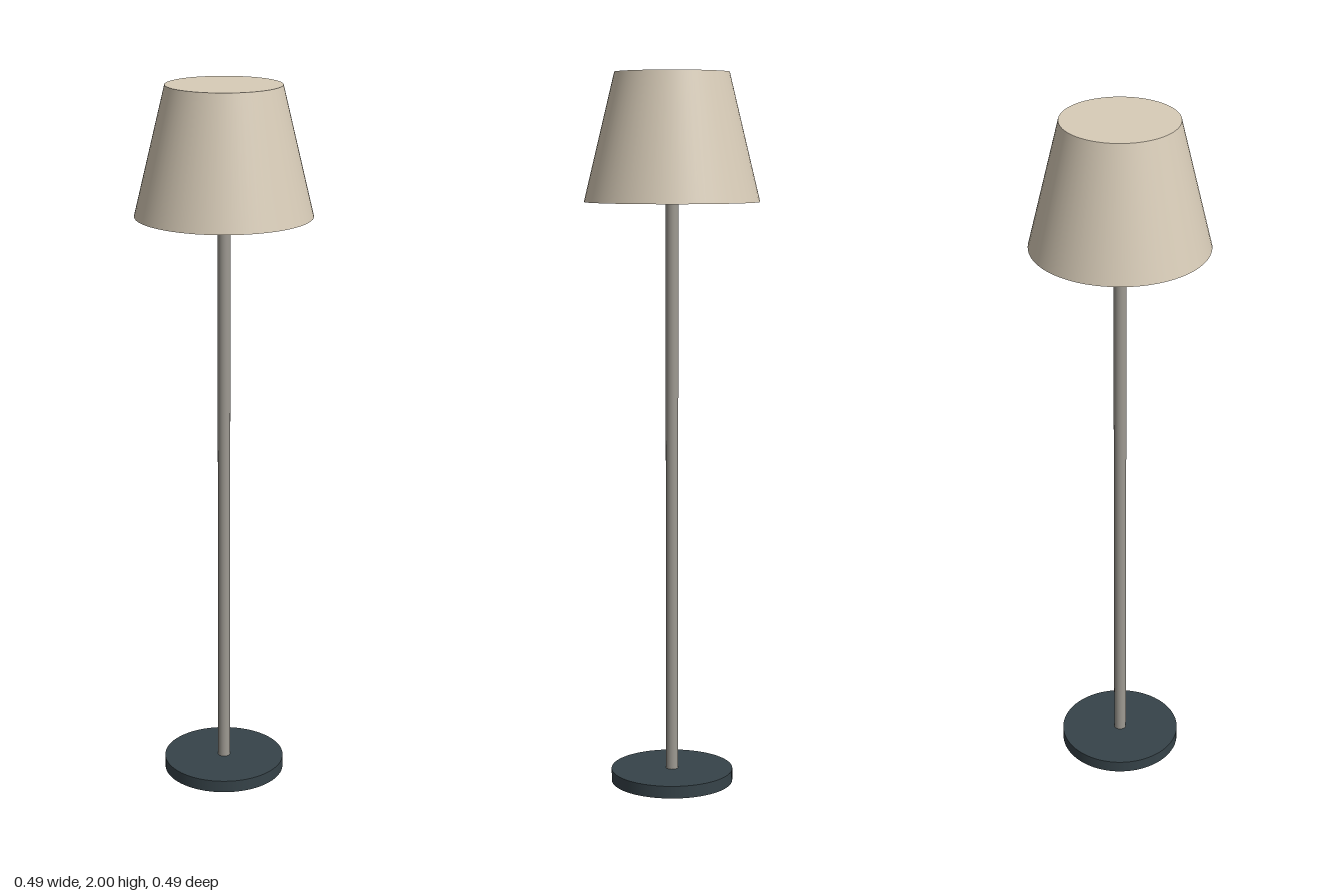
import * as THREE from 'three';

const shadeFabric = new THREE.MeshStandardMaterial({ name: 'beige shade', color: 0xd8ccb8 });
const poleMetal = new THREE.MeshStandardMaterial({ name: 'warm grey metal', color: 0x9e9a92 });
const baseMetal = new THREE.MeshStandardMaterial({ name: 'dark slate', color: 0x364349 });

// Upright round part between two heights
function roundPart(name, material, topRadius, bottomRadius, y0, y1, sides) {
  const geometry = new THREE.CylinderGeometry(topRadius, bottomRadius, y1 - y0, sides);
  const mesh = new THREE.Mesh(geometry, material);
  mesh.name = name;
  mesh.position.y = (y0 + y1) / 2;
  return mesh;
}

export function createModel() {
  const lamp = new THREE.Group();
  lamp.name = 'floorLamp';
  lamp.add(
    // Heavy disc foot
    roundPart('base', baseMetal, 0.173, 0.173, 0, 0.035, 64),
    // Slim pole running up into the shade
    roundPart('pole', poleMetal, 0.0175, 0.0175, 0.035, 1.66, 32),
    // Closed tapered shade
    roundPart('shade', shadeFabric, 0.158, 0.243, 1.647, 2, 64),
  );
  return lamp;
}
